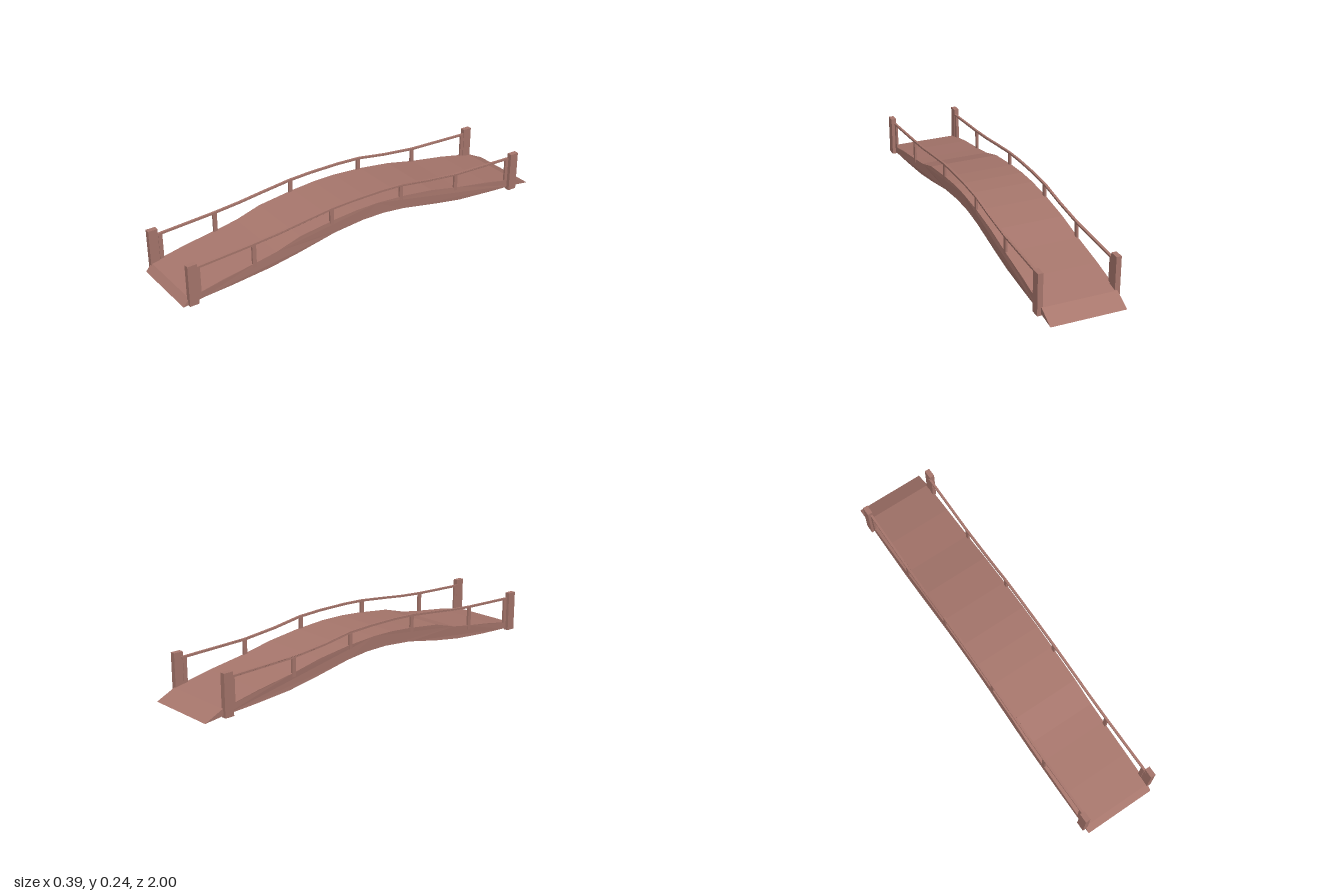
import * as THREE from 'three';

// Side outlines as [z, y] points, front to back
const DECK_TOP = [[1, 0], [0.97, 0.035], [0.8, 0.067], [0.62, 0.092], [0.52, 0.108], [0.39, 0.145], [0.2, 0.168], [0.08, 0.177],
  [-0.04, 0.178], [-0.2, 0.167], [-0.37, 0.145], [-0.53, 0.112], [-0.72, 0.082], [-0.91, 0.043], [-1, 0]];
const DECK_UNDER = [[-0.9, 0.012], [-0.75, 0.021], [-0.55, 0.037], [-0.4, 0.062], [-0.2, 0.1], [-0.08, 0.113], [0.04, 0.114],
  [0.2, 0.1], [0.4, 0.062], [0.55, 0.039], [0.75, 0.022], [0.9, 0.014]];
const RAIL = [[0.94, 0.172], [0.64, 0.186], [0.5, 0.197], [0.38, 0.211], [0.22, 0.228], [0.1, 0.233], [-0.06, 0.233],
  [-0.19, 0.227], [-0.34, 0.204], [-0.52, 0.185], [-0.87, 0.175]];

// The whole span bows slightly towards the right
const bow = (z) => -0.01 * Math.max(0, 1 - z * z);

// Height of an outline at z
function heightAt(line, z) {
  for (let i = 1; i < line.length; i++) {
    const [z0, y0] = line[i - 1], [z1, y1] = line[i];
    if (z <= z0 && z >= z1) return y0 + (y1 - y0) * (z0 - z) / (z0 - z1);
  }
  return 0;
}

// Side outline given thickness across x, then bowed
function sideSlab(points, width) {
  const shape = new THREE.Shape(points.map(([z, y]) => new THREE.Vector2(z, y)));
  const geo = new THREE.ExtrudeGeometry(shape, { depth: width, bevelEnabled: false });
  geo.translate(0, 0, -width / 2).rotateY(-Math.PI / 2);
  const p = geo.attributes.position;
  for (let i = 0; i < p.count; i++) p.setX(i, p.getX(i) + bow(p.getZ(i)));
  geo.computeVertexNormals();
  return geo;
}

export function createModel() {
  const wood = new THREE.MeshStandardMaterial({ color: 0xa8776d, flatShading: true });
  wood.name = 'reddish wood';
  const bridge = new THREE.Group();
  bridge.name = 'footbridge';

  function add(name, geometry, x = 0, y = 0, z = 0) {
    const mesh = new THREE.Mesh(geometry, wood);
    mesh.name = name;
    mesh.position.set(x, y, z);
    bridge.add(mesh);
  }

  // Arched deck
  add('deck', sideSlab([...DECK_TOP, ...DECK_UNDER], 0.356));

  for (const side of [-1, 1]) {
    const label = side > 0 ? 'left' : 'right';
    const railX = side * 0.174;

    // Handrail
    const under = RAIL.map(([z, y]) => [z, y - 0.005]);
    const upper = RAIL.map(([z, y]) => [z, y + 0.005]).reverse();
    add(label + 'Handrail', sideSlab([...under, ...upper], 0.011), railX);

    // Balusters from the deck to the handrail
    for (const z of [0.918, 0.635, 0.217, -0.183, -0.52, -0.852]) {
      const bottom = heightAt(DECK_TOP, z) - 0.02, top = heightAt(RAIL, z);
      add(label + 'Baluster', new THREE.BoxGeometry(0.01, top - bottom, 0.02), railX + bow(z), (top + bottom) / 2, z);
    }

    // End posts
    for (const z of [0.953, -0.883]) {
      add(label + 'Post', new THREE.BoxGeometry(0.025, 0.2, 0.046), side * 0.1815, 0.103, z);
    }
  }
  return bridge;
}
